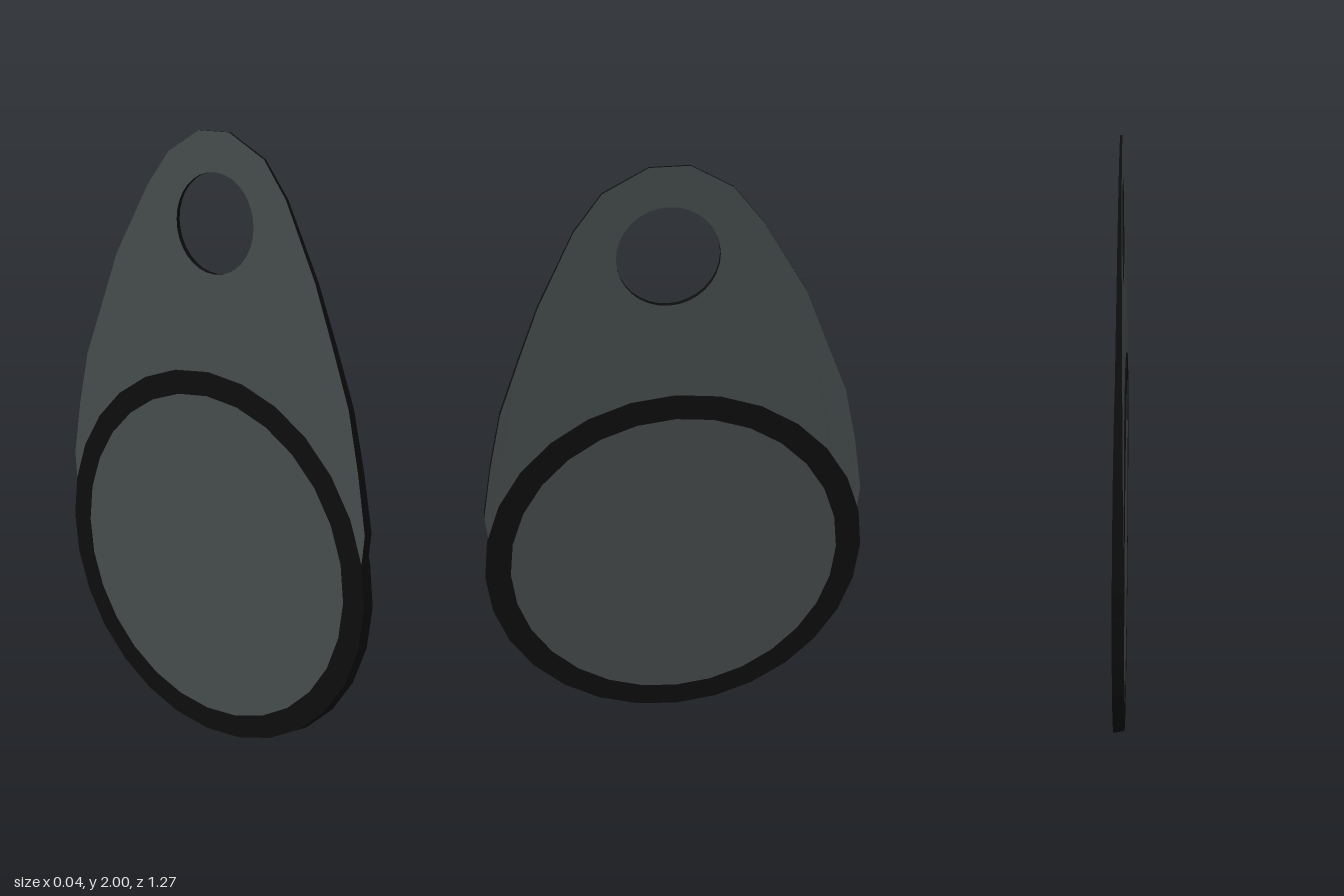
import * as THREE from 'three';

const SEGMENTS = 28, CENTRE_Y = 0.63;

export function createModel() {
  const group = new THREE.Group();
  const grey = new THREE.MeshStandardMaterial({ color: 0x454b4b, flatShading: true });
  const black = new THREE.MeshStandardMaterial({ color: 0x0d0d0d, flatShading: true });

  function add(name, geometry, material) {
    const mesh = new THREE.Mesh(geometry, material);
    mesh.name = name;
    group.add(mesh);
  }

  // Tapered tab: outline as [z, y], closed by an arc hidden inside the rim
  const outline = [
    [0.61, 0.75], [0.62, 0.865], [0.587, 1.05], [0.545, 1.235], [0.48, 1.41], [0.41, 1.59],
    [0.295, 1.82], [0.21, 1.93], [0.075, 2], [-0.045, 2], [-0.17, 1.93], [-0.26, 1.82],
    [-0.4, 1.59], [-0.477, 1.4], [-0.545, 1.235], [-0.587, 1.05], [-0.617, 0.865], [-0.61, 0.75],
  ].map(([z, y]) => new THREE.Vector2(z, y));
  for (let i = 0; i <= 20; i++) {
    const a = THREE.MathUtils.degToRad(168 - i * 7.8);
    outline.push(new THREE.Vector2(0.59 * Math.cos(a), CENTRE_Y + 0.59 * Math.sin(a)));
  }
  const shape = new THREE.Shape(outline);
  shape.holes.push(new THREE.Path().absarc(0.02, 1.725, 0.155, 0, Math.PI * 2, true));
  const tab = new THREE.ExtrudeGeometry(shape, { depth: 2, bevelEnabled: false, curveSegments: 16 });
  tab.translate(0, 0, -1).rotateY(-Math.PI / 2);
  // Thin the tab towards its top
  const p = tab.attributes.position;
  for (let i = 0; i < p.count; i++) {
    const half = Math.min(0.0172, 0.0125 - 0.012 * (p.getY(i) - 1.26));
    p.setX(i, p.getX(i) * half);
  }
  tab.computeVertexNormals();
  add('tab', tab, [grey, black]);

  // Round rim with a slight draft on its outer wall
  const profile = [[0.55, -0.018], [0.627, -0.018], [0.634, 0.018], [0.55, 0.018], [0.55, -0.018]]
    .map(([r, y]) => new THREE.Vector2(r, y));
  const rim = new THREE.LatheGeometry(profile, SEGMENTS);
  rim.rotateZ(-Math.PI / 2).translate(0, CENTRE_Y, 0);
  add('rim', rim, black);

  // Flat disc set inside the rim
  const disc = new THREE.CylinderGeometry(0.555, 0.555, 0.033, SEGMENTS);
  disc.rotateZ(-Math.PI / 2).translate(0, CENTRE_Y, 0);
  add('disc', disc, grey);

  return group;
}
